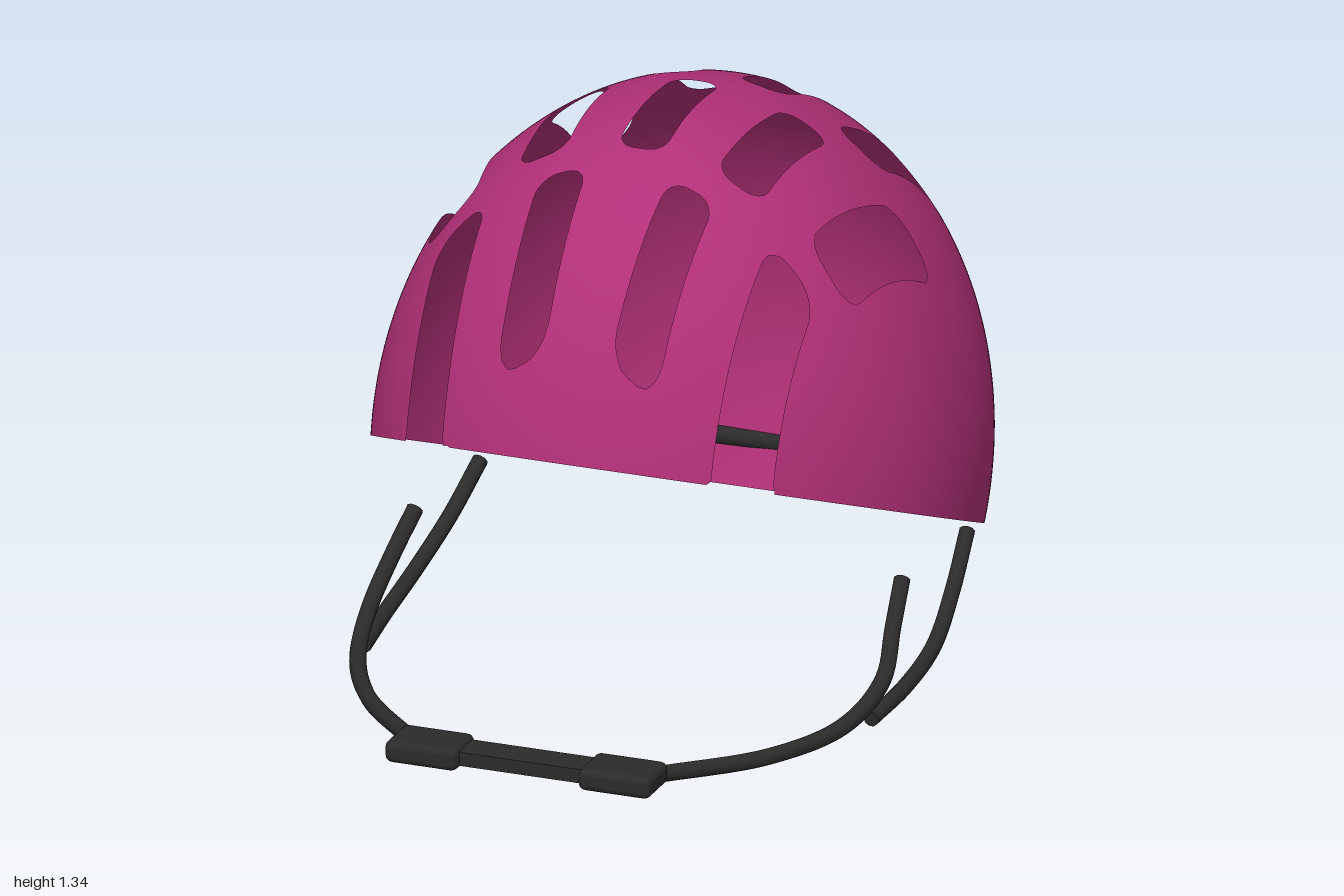
import * as THREE from 'three';
import { RoundedBoxGeometry } from 'three/addons/geometries/RoundedBoxGeometry.js';

const RX = 0.7, RY = 0.89, R_FRONT = 0.73, R_BACK = 0.96, CENTRE_Y = 0.45;

// Vents as seen from above: [x start, z start, x end, z end]; mirrored in x
const VENTS = [
  [0.385, -0.59, 0.355, -0.25], [0.13, -0.59, 0.112, -0.25],
  [0.535, -0.15, 0.47, 0.22], [0.27, -0.15, 0.245, 0.22], [0, -0.15, 0, 0.22],
  [0.41, 0.29, 0.38, 0.85], [0.16, 0.29, 0.14, 0.62],
];

// Signed distance to a rounded slot
function slotDistance(x, z, [x0, z0, x1, z1]) {
  const halfWidth = 0.058, corner = 0.045;
  const length = Math.hypot(x1 - x0, z1 - z0);
  const ux = (x1 - x0) / length, uz = (z1 - z0) / length;
  const dx = x - (x0 + x1) / 2, dz = z - (z0 + z1) / 2;
  const a = Math.abs(dx * ux + dz * uz) - length / 2 + corner;
  const b = Math.abs(dx * uz - dz * ux) - halfWidth + corner;
  return Math.hypot(Math.max(a, 0), Math.max(b, 0)) + Math.min(Math.max(a, b), 0) - corner;
}

// Positive where shell material remains: above the tilted rim and outside the vents
function solid(p) {
  let d = p.y - (0.395 + 0.42 * p.z);
  for (const vent of VENTS) d = Math.min(d, slotDistance(Math.abs(p.x), p.z, vent));
  return d;
}

function shellPoint(u, v) {
  const r = Math.sin(v), c = Math.cos(u);
  return new THREE.Vector3(RX * r * Math.sin(u), CENTRE_Y + RY * Math.cos(v), (c > 0 ? R_FRONT : R_BACK) * r * c);
}

// Egg-shaped dome, each triangle clipped to the solid region
function shellGeometry() {
  const U = 200, V = 110, maxV = 2.2;
  const positions = [], normals = [];
  const grid = [];
  for (let j = 0; j <= V; j++) {
    const row = [];
    for (let i = 0; i <= U; i++) {
      const p = shellPoint((i / U) * Math.PI * 2, (j / V) * maxV);
      row.push({ p, d: solid(p) });
    }
    grid.push(row);
  }
  const push = (p) => {
    positions.push(p.x, p.y, p.z);
    const rz = p.z > 0 ? R_FRONT : R_BACK;
    const n = new THREE.Vector3(p.x / RX ** 2, (p.y - CENTRE_Y) / RY ** 2, p.z / rz ** 2).normalize();
    normals.push(n.x, n.y, n.z);
  };
  const clip = (corners) => {
    const kept = [];
    corners.forEach((a, i) => {
      const b = corners[(i + 1) % 3];
      if (a.d >= 0) kept.push(a.p);
      if (a.d >= 0 !== b.d >= 0) kept.push(a.p.clone().lerp(b.p, a.d / (a.d - b.d)));
    });
    for (let k = 1; k + 1 < kept.length; k++) [kept[0], kept[k], kept[k + 1]].forEach(push);
  };
  for (let j = 0; j < V; j++) {
    for (let i = 0; i < U; i++) {
      const a = grid[j][i], b = grid[j + 1][i], c = grid[j + 1][i + 1], d = grid[j][i + 1];
      clip([a, b, c]);
      if (j > 0) clip([a, c, d]);
    }
  }
  const geometry = new THREE.BufferGeometry();
  geometry.setAttribute('position', new THREE.Float32BufferAttribute(positions, 3));
  geometry.setAttribute('normal', new THREE.Float32BufferAttribute(normals, 3));
  return geometry;
}

export function createModel() {
  const model = new THREE.Group();
  model.name = 'helmet';

  const shellMaterial = new THREE.MeshStandardMaterial({ color: 0xb03076, side: THREE.DoubleSide });
  shellMaterial.name = 'magenta shell';
  const black = new THREE.MeshStandardMaterial({ color: 0x2b2b2b });
  black.name = 'black fittings';

  const add = (name, geometry, material, x = 0, y = 0, z = 0) => {
    const mesh = new THREE.Mesh(geometry, material);
    mesh.name = name;
    mesh.position.set(x, y, z);
    model.add(mesh);
    return mesh;
  };

  // Round strap with closed ends
  const addStrap = (name, points, radius) => {
    const path = new THREE.CatmullRomCurve3(points.map((p) => new THREE.Vector3(...p)));
    add(name, new THREE.TubeGeometry(path, 48, radius, 10), black);
    for (const t of [0, 1]) {
      const cap = add(name + 'End', new THREE.CircleGeometry(radius, 10), black);
      cap.position.copy(path.getPoint(t));
      const outward = path.getTangent(t).multiplyScalar(t ? 1 : -1);
      cap.quaternion.setFromUnitVectors(new THREE.Vector3(0, 0, 1), outward);
    }
  };

  add('shell', shellGeometry(), shellMaterial);

  // Straps and buckle halves on each side
  for (const [side, s] of [['left', 1], ['right', -1]]) {
    addStrap(side + 'FrontStrap', [
      [s * 0.605, 0.27, 0.1], [s * 0.622, 0.19, 0.2], [s * 0.637, 0.1, 0.3],
      [s * 0.605, 0.04, 0.46], [s * 0.5, 0.022, 0.66], [s * 0.3, 0.03, 0.89],
    ], 0.02);
    addStrap(side + 'RearStrap', [
      [s * 0.605, 0.24, -0.31], [s * 0.625, 0.15, -0.17], [s * 0.645, 0.075, 0],
      [s * 0.645, 0.04, 0.18], [s * 0.63, 0.022, 0.36],
    ], 0.019);
    add(side + 'Buckle', new RoundedBoxGeometry(0.18, 0.055, 0.13, 3, 0.018), black, s * 0.24, 0.035, 0.932);
  }
  add('chinStrap', new THREE.BoxGeometry(0.36, 0.034, 0.085), black, 0, 0.035, 0.93);

  // Fit band following the back of the shell
  addStrap('fitBand', [
    [-0.465, 0.245, -0.64], [-0.37, 0.2, -0.75], [-0.22, 0.155, -0.86], [0, 0.135, -0.915],
    [0.22, 0.155, -0.86], [0.37, 0.2, -0.75], [0.465, 0.245, -0.64],
  ], 0.022);

  // Knurled adjuster dial
  const outline = new THREE.Shape();
  const teeth = 20;
  for (let i = 0; i < teeth * 4; i++) {
    const angle = (i / (teeth * 4)) * Math.PI * 2;
    const r = i % 4 < 2 ? 0.086 : 0.077;
    outline[i ? 'lineTo' : 'moveTo'](r * Math.cos(angle), r * Math.sin(angle));
  }
  add('adjusterDial', new THREE.ExtrudeGeometry(outline, { depth: 0.09, bevelEnabled: false }), black, 0, 0.155, -1);

  return model;
}
